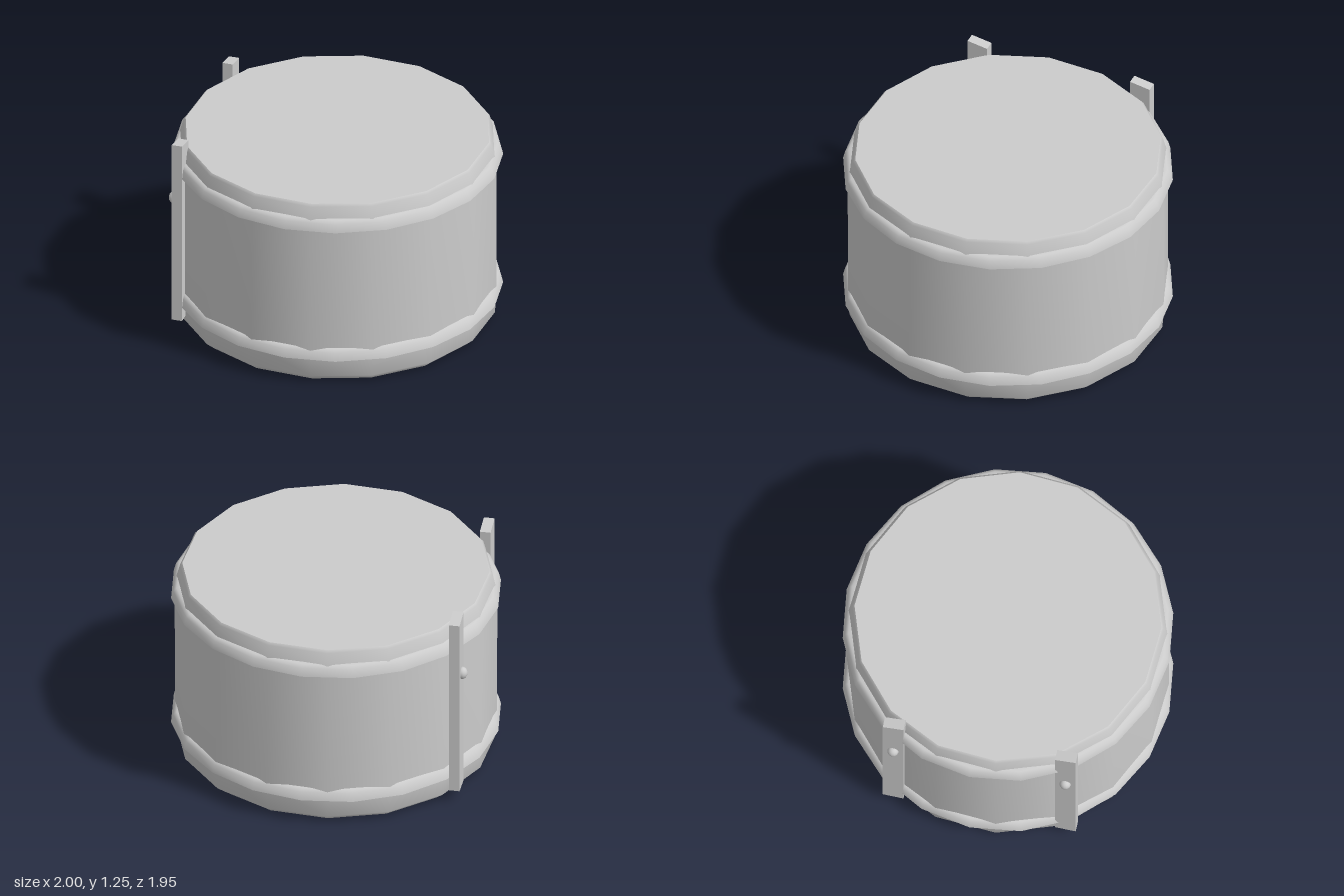
import * as THREE from 'three';
import { toCreasedNormals } from 'three/addons/utils/BufferGeometryUtils.js';

const CENTRE_X = 0.025; // the drum sits slightly off centre because of the posts
const v = (pts) => pts.map(([x, y]) => new THREE.Vector2(x, y));

export function createModel() {
  const model = new THREE.Group();
  model.name = 'drum';
  const grey = new THREE.MeshStandardMaterial({ color: 0xcccccc });
  grey.name = 'plain grey';

  const add = (parent, name, geometry, x = 0, y = 0, z = 0) => {
    const mesh = new THREE.Mesh(geometry, grey);
    mesh.name = name;
    mesh.position.set(x, y, z);
    parent.add(mesh);
    return mesh;
  };

  // Shell: sixteen sides, bevelled foot, slightly tapered head
  const shell = new THREE.LatheGeometry(v([
    [0.888, 0], [0.94, 0.045], [0.948, 0.2], [0.95, 1.03],
    [0.94, 1.09], [0.918, 1.17], [0.905, 1.185],
  ]), 16);
  add(model, 'shell', shell, CENTRE_X);

  // Flat drumhead and underside
  const head = new THREE.CircleGeometry(0.905, 16).rotateX(-Math.PI / 2);
  add(model, 'drumHead', head, CENTRE_X, 1.185);
  const base = new THREE.CircleGeometry(0.888, 16).rotateX(Math.PI / 2);
  add(model, 'underside', base, CENTRE_X);

  // Hoops: flat below, rounded above
  const hoop = toCreasedNormals(new THREE.LatheGeometry(v([
    [0.915, 0], [0.975, 0], [0.962, 0.05], [0.942, 0.068], [0.915, 0.07],
  ]), 20), 0.95);
  add(model, 'lowerHoop', hoop, CENTRE_X, 0.167);
  add(model, 'upperHoop', hoop, CENTRE_X, 1.032);

  // Two posts with sloping tops, each with a knob on its outer side
  const post = new THREE.BoxGeometry(0.064, 1.175, 0.125).toNonIndexed();
  const p = post.attributes.position;
  for (let i = 0; i < p.count; i++) {
    if (p.getY(i) > 0 && p.getZ(i) < 0) p.setY(i, p.getY(i) - 0.022);
  }
  post.computeVertexNormals();
  const knob = new THREE.SphereGeometry(0.038, 12, 8).scale(0.85, 1, 0.9);

  [['sidePost', -0.9325, 0.09], ['frontPost', -0.2975, 0.905]].forEach(([name, x, z]) => {
    const group = new THREE.Group();
    group.name = name;
    group.position.set(x, 0, z);
    group.rotation.y = Math.atan2(0.6, 0.8);
    add(group, 'postBar', post, 0, 0.6675, 0);
    add(group, 'knob', knob, -0.036, 0.87, 0);
    model.add(group);
  });

  return model;
}
